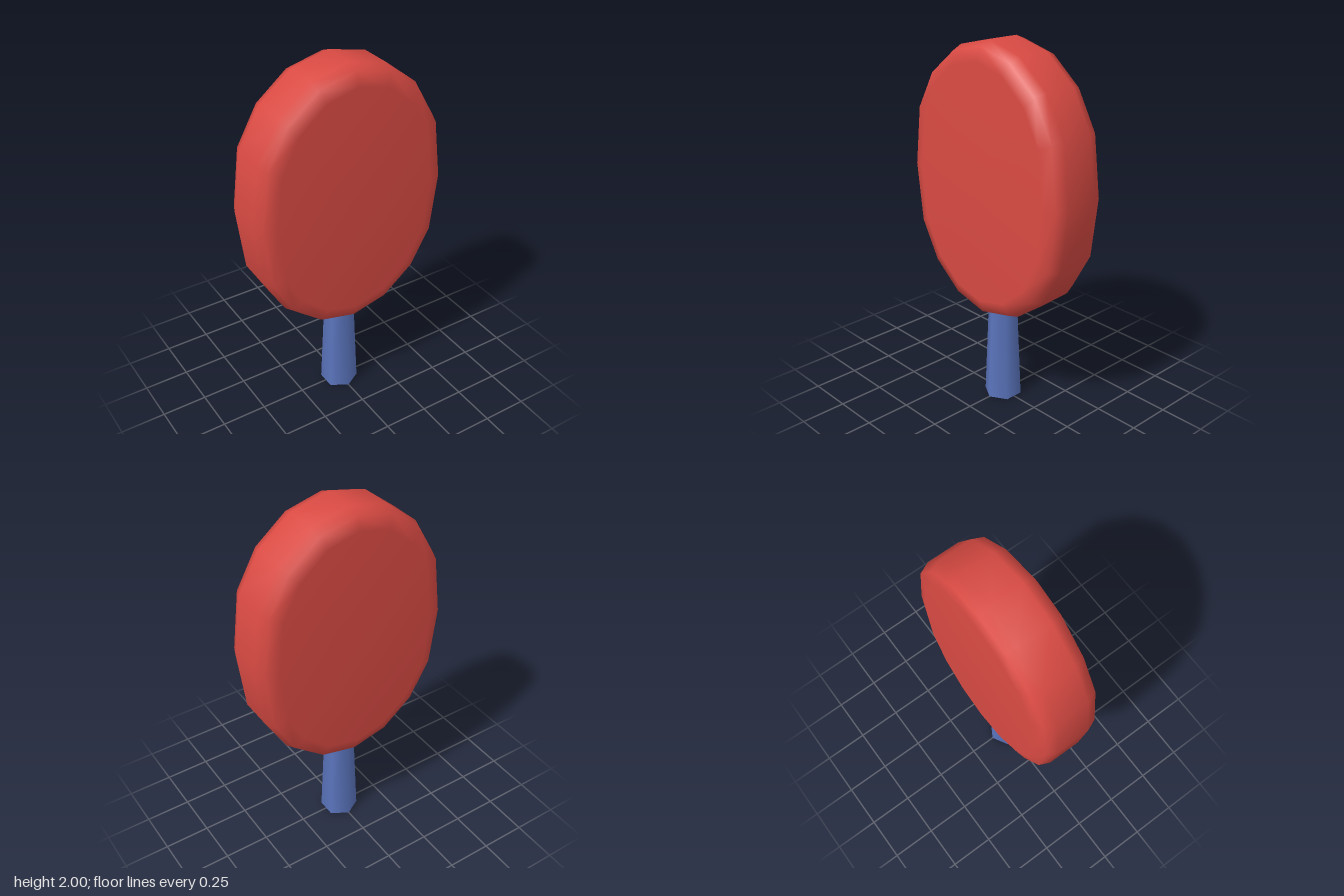
import * as THREE from 'three';

const red = new THREE.MeshStandardMaterial({ color: 0xd94a43 });
red.name = 'red rubber';
const blue = new THREE.MeshStandardMaterial({ color: 0x5a74bc });
blue.name = 'blue grip';
const olive = new THREE.MeshStandardMaterial({ color: 0x8f8963 });
olive.name = 'olive core';

const SIDES = 16, HALF_W = 0.55, HALF_H = 0.735;

// Rounded head: stacked oval rings, closed by a fan on each face
function headGeometry() {
  const heights = [0.735, 0.685, 0.543, 0.333, 0]; // quarter outline, top to side
  const rings = [[0.173, 0.095], [0.15, 0.025], [0.09, 0], [-0.09, 0], [-0.15, 0.025], [-0.173, 0.095]]; // z, inset
  const pos = [], index = [];
  for (const [z, inset] of rings) {
    for (let i = 0; i < SIDES; i++) {
      const k = Math.min(i, SIDES - i);
      const y = k <= 4 ? heights[k] : -heights[8 - k];
      const x = HALF_W * Math.sin((i / SIDES) * Math.PI * 2);
      pos.push(x * (1 - inset / HALF_W), y * (1 - inset / HALF_H), z);
    }
  }
  const front = pos.length / 3, back = front + 1, last = (rings.length - 1) * SIDES;
  pos.push(0, 0, rings[0][0], 0, 0, -rings[0][0]);
  for (let i = 0; i < SIDES; i++) {
    const j = (i + 1) % SIDES;
    index.push(front, j, i, back, last + i, last + j);
    for (let r = 0; r < last; r += SIDES) {
      const a = r + i, b = r + j, c = a + SIDES, d = b + SIDES;
      index.push(a, b, c, b, d, c);
    }
  }
  const g = new THREE.BufferGeometry();
  g.setAttribute('position', new THREE.Float32BufferAttribute(pos, 3));
  g.setIndex(index);
  g.computeVertexNormals();
  return g;
}

export function createModel() {
  const group = new THREE.Group();
  group.name = 'paddle';
  const add = (name, geometry, material, y) => {
    const mesh = new THREE.Mesh(geometry, material);
    mesh.name = name;
    mesh.position.y = y;
    group.add(mesh);
  };

  add('head', headGeometry(), red, 1.265);

  // Tapered six-sided handle, its top sunk into the head
  add('handle', new THREE.CylinderGeometry(0.079, 0.104, 0.6, 6, 1, true), blue, 0.3);

  // Handle end: grip rim around the core
  add('handleRim', new THREE.RingGeometry(0.068, 0.104, 6, 1, Math.PI / 2).rotateX(Math.PI / 2), blue, 0);
  add('handleCore', new THREE.CircleGeometry(0.068, 6, Math.PI / 2).rotateX(Math.PI / 2), olive, 0);

  return group;
}
